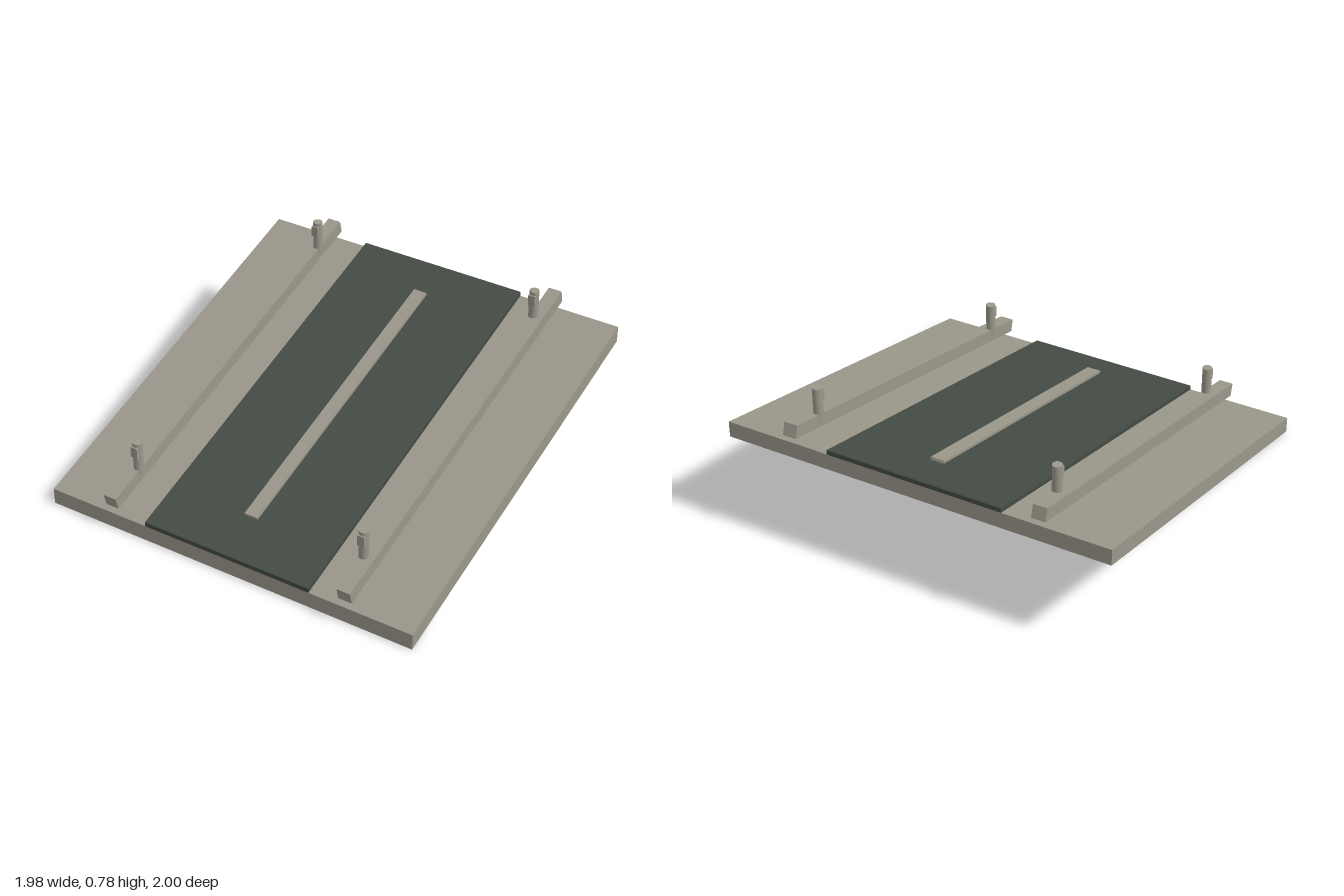
import * as THREE from 'three';

const SLOPE = 0.255; // rise per unit towards the back
const TILT = Math.atan(SLOPE);

export function createModel() {
  const model = new THREE.Group();
  model.name = 'ramp';

  const stone = new THREE.MeshStandardMaterial({ color: 0x9b978b });
  stone.name = 'warm grey';
  const dark = new THREE.MeshStandardMaterial({ color: 0x454b45 });
  dark.name = 'dark green grey';

  const add = (name, geometry, material, x, y, z) => {
    const mesh = new THREE.Mesh(geometry, material);
    mesh.name = name;
    mesh.position.set(x, y, z);
    model.add(mesh);
    return mesh;
  };

  // Slab sheared along the slope, keeping its end faces vertical
  const shearedSlab = (w, h, d) => {
    const g = new THREE.BoxGeometry(w, h, d);
    const p = g.attributes.position;
    for (let i = 0; i < p.count; i++) p.setY(i, p.getY(i) - p.getZ(i) * SLOPE);
    g.computeVertexNormals();
    return g;
  };

  // Deck and the dark runway lying on it
  add('deck', shearedSlab(1.976, 0.083, 1.976), stone, 0, 0.2935, 0);
  add('runway', shearedSlab(0.9, 0.023, 1.976), dark, 0, 0.3465, 0);

  // Centre strip, just above the runway
  const strip = add('centreStrip', new THREE.BoxGeometry(0.07, 0.014, 1.592), stone, 0, 0.379, 0);
  strip.rotation.x = TILT;

  for (const side of [-1, 1]) {
    // Side rail, square to the slope
    const rail = add('sideRail', new THREE.BoxGeometry(0.07, 0.066, 2.047), stone, side * 0.64, 0.404, 0);
    rail.rotation.x = TILT;

    // Upright posts, each with a small plate facing forwards
    for (const [z, top] of [[0.792, 0.381], [-0.792, 0.781]]) {
      add('post', new THREE.CylinderGeometry(0.024, 0.024, 0.18, 16), stone, side * 0.62, top - 0.09, z);
      add('postPlate', new THREE.BoxGeometry(0.036, 0.056, 0.02), stone, side * 0.62, top - 0.046, z + 0.02);
    }
  }
  return model;
}
